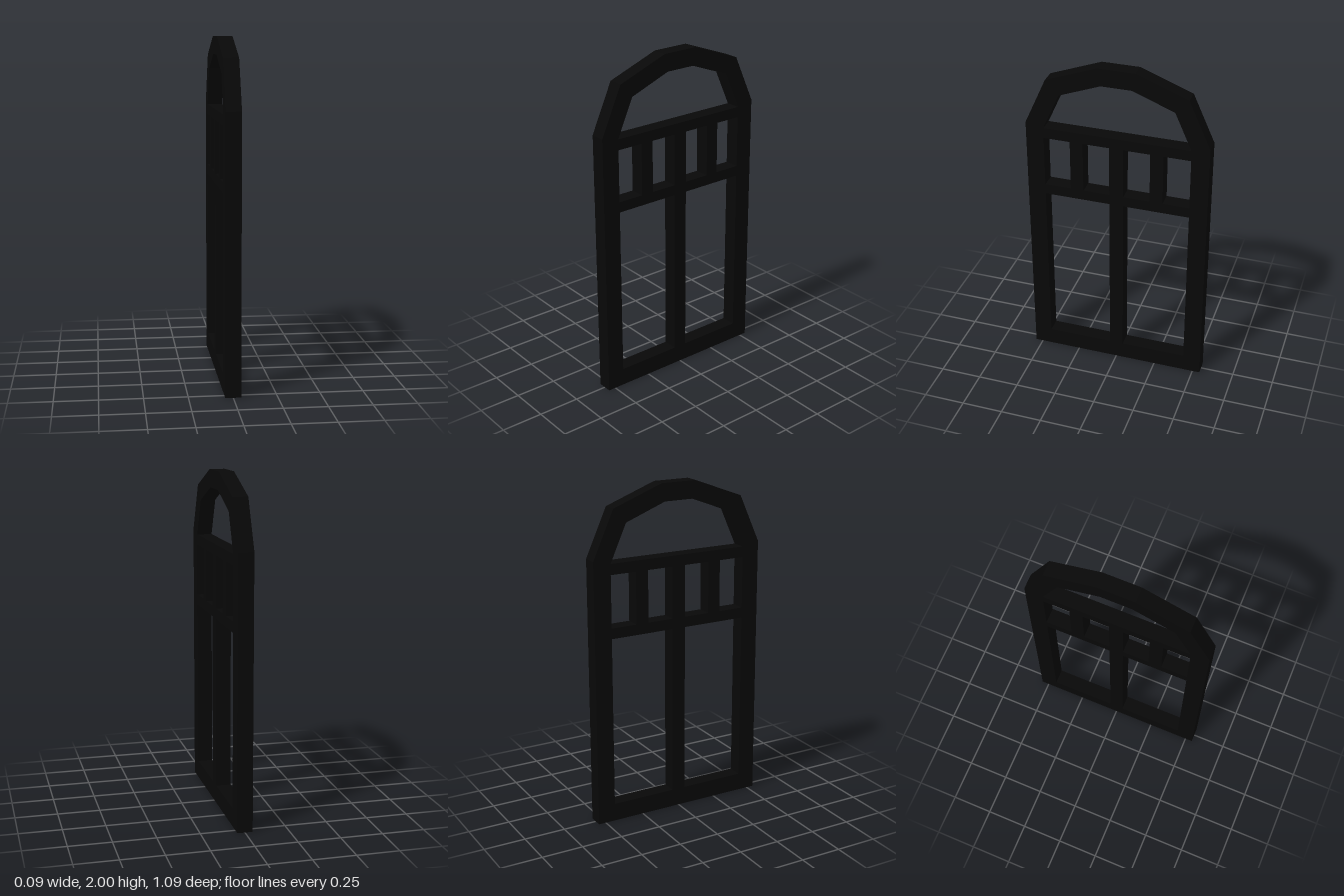
import * as THREE from 'three';

const DEPTH = 0.09;
const material = new THREE.MeshStandardMaterial({ color: 0x080808, flatShading: true });

// Closed outline from its right half (bottom to top), mirrored to the left
function mirrored(half) {
  const left = half.map(([u, v]) => [-u, v]).reverse();
  return [...half, ...left].map(([u, v]) => new THREE.Vector2(u, v));
}

export function createModel() {
  const group = new THREE.Group();
  group.name = 'archedWindow';

  // Arched outer frame, one large opening, lying in the z-y plane
  const outline = new THREE.Shape(mirrored([[0.545, 0], [0.545, 1.6], [0.416, 1.885], [0.11, 2]]));
  outline.holes.push(new THREE.Path(mirrored([[0.438, 0.108], [0.438, 1.577], [0.338, 1.8], [0.09, 1.895]])));
  const frameGeometry = new THREE.ExtrudeGeometry(outline, { depth: DEPTH, bevelEnabled: false });
  frameGeometry.translate(0, 0, -DEPTH / 2).rotateY(Math.PI / 2);
  const frame = new THREE.Mesh(frameGeometry, material);
  frame.name = 'archedFrame';
  group.add(frame);

  // Bar spanning z0..z1 and y0..y1 at full frame depth
  function bar(name, z0, z1, y0, y1) {
    const mesh = new THREE.Mesh(new THREE.BoxGeometry(DEPTH, y1 - y0, z1 - z0), material);
    mesh.position.set(0, (y0 + y1) / 2, (z0 + z1) / 2);
    mesh.name = name;
    group.add(mesh);
  }

  // Horizontal rails
  bar('upperRail', -0.438, 0.438, 1.513, 1.577);
  bar('lowerRail', -0.438, 0.438, 1.138, 1.201);

  // Central mullion, below and above the lower rail
  bar('lowerMullion', -0.042, 0.042, 0.108, 1.138);
  bar('upperMullion', -0.042, 0.042, 1.201, 1.513);

  // Short side bars between the rails
  for (const side of [-1, 1]) {
    bar('smallBar', side * 0.24 - 0.039, side * 0.24 + 0.039, 1.201, 1.513);
  }

  return group;
}
